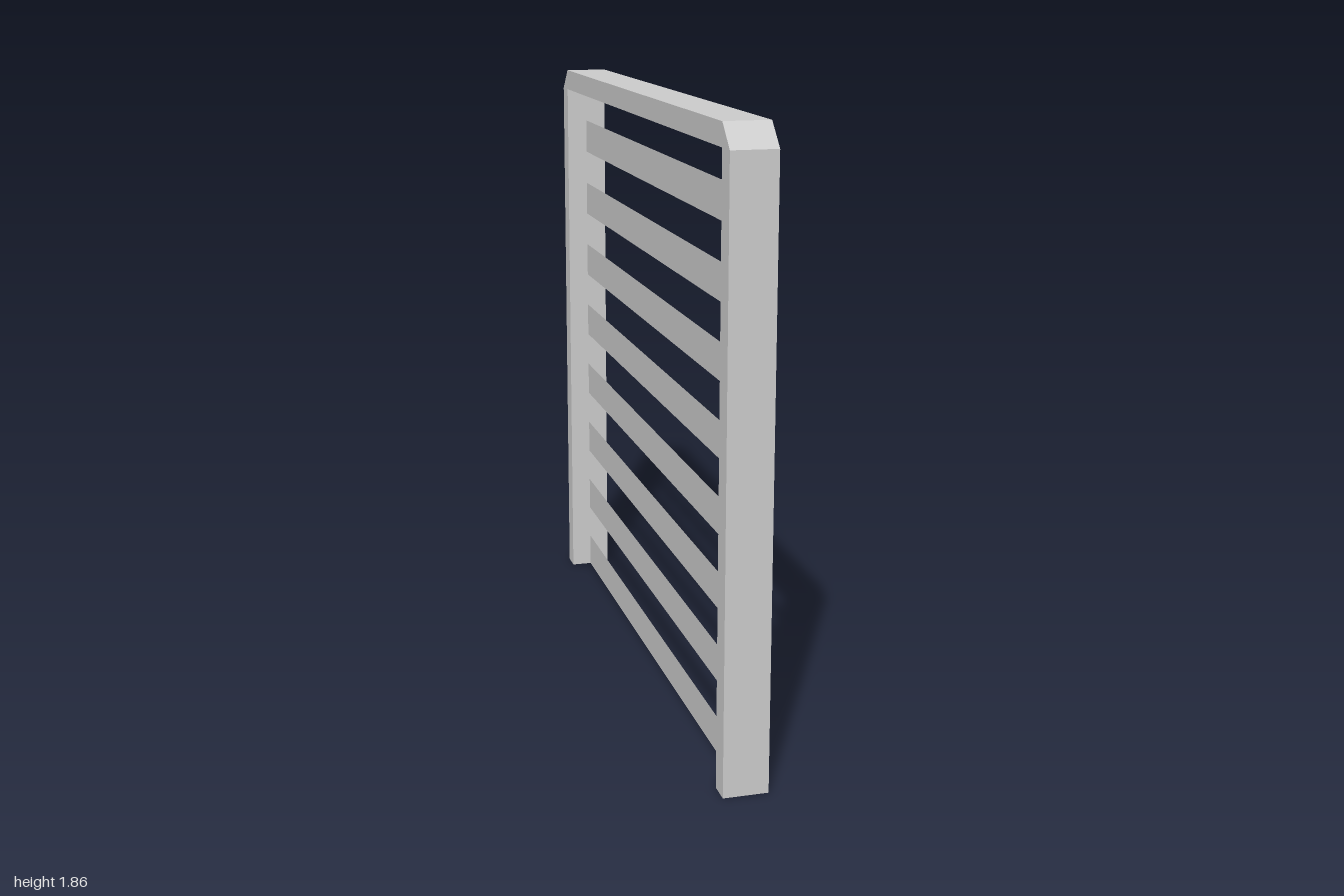
import * as THREE from 'three';

export function createModel() {
  const group = new THREE.Group();
  group.name = 'slattedPanel';
  const material = new THREE.MeshStandardMaterial({ color: 0xcccccc, flatShading: true });
  const slatMaterial = new THREE.MeshStandardMaterial({ color: 0xcccccc, side: THREE.DoubleSide });

  const height = 1.864, bar = 0.067, depth = 0.134;
  const inner = 1 - bar, shoulder = height - bar;

  // Frame: two posts and a top rail with chamfered corners
  const outline = new THREE.Shape([
    [-1, 0], [-inner, 0], [-inner, shoulder], [inner, shoulder], [inner, 0],
    [1, 0], [1, shoulder], [inner, height], [-inner, height], [-1, shoulder],
  ].map(([z, y]) => new THREE.Vector2(z, y)));
  const frameGeometry = new THREE.ExtrudeGeometry(outline, { depth, bevelEnabled: false });
  frameGeometry.translate(0, 0, -depth / 2).rotateY(Math.PI / 2);
  const frame = new THREE.Mesh(frameGeometry, material);
  frame.name = 'frame';
  group.add(frame);

  // Slats: thin upright strips evenly stacked between the posts
  const slatHeight = 0.112, pitch = 0.2247;
  const slatGeometry = new THREE.PlaneGeometry(2 * inner, slatHeight).rotateY(Math.PI / 2);
  for (let i = 0; i < 8; i++) {
    const slat = new THREE.Mesh(slatGeometry, slatMaterial);
    slat.name = `slat${i + 1}`;
    slat.position.y = slatHeight / 2 + i * pitch;
    group.add(slat);
  }
  return group;
}
